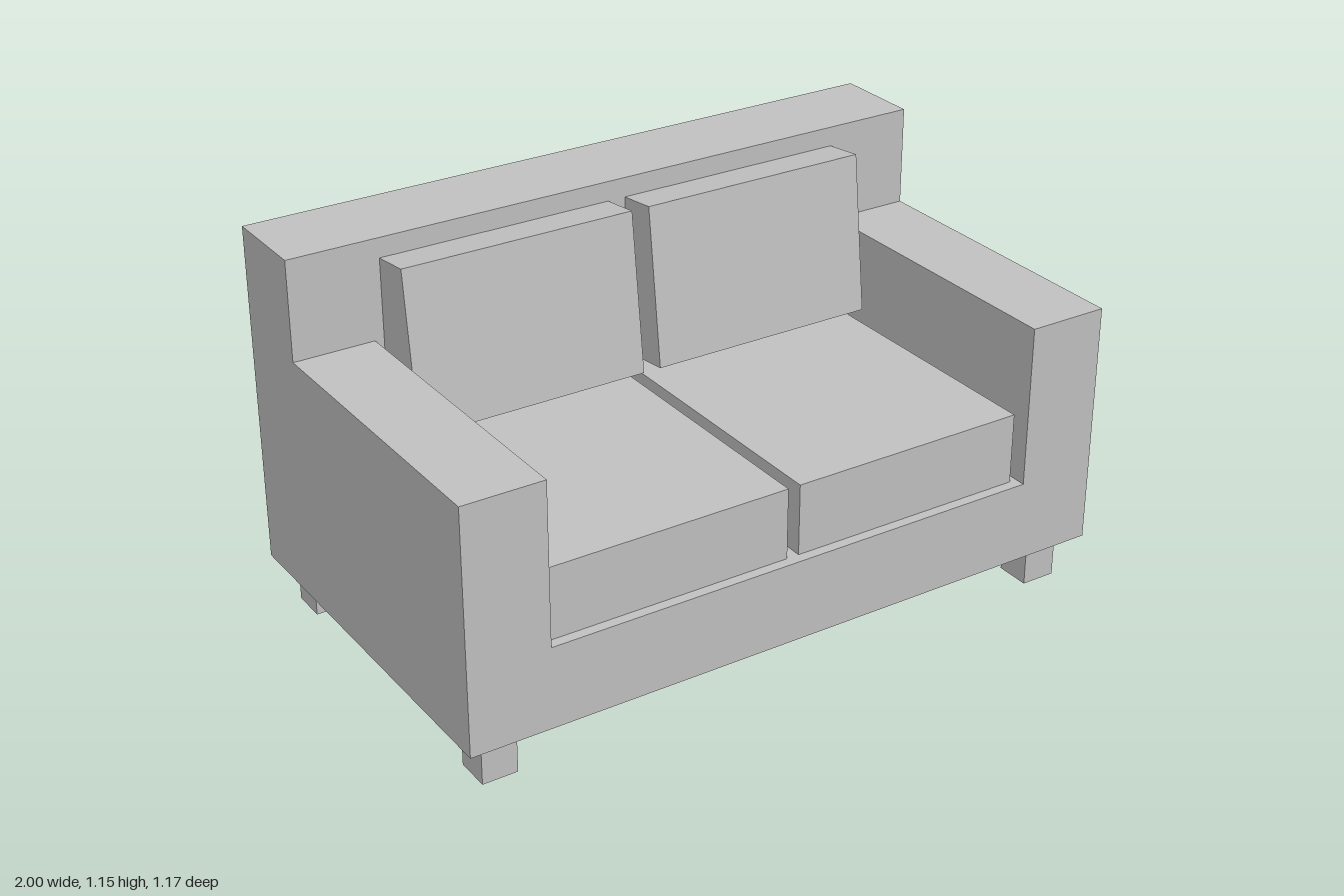
import * as THREE from 'three';

const fabric = new THREE.MeshStandardMaterial({ color: 0xc0c0c0 });
fabric.name = 'light grey';

// Box given by its minimum and maximum corners
function box(name, [x0, y0, z0], [x1, y1, z1]) {
  const mesh = new THREE.Mesh(new THREE.BoxGeometry(x1 - x0, y1 - y0, z1 - z0), fabric);
  mesh.position.set((x0 + x1) / 2, (y0 + y1) / 2, (z0 + z1) / 2);
  mesh.name = name;
  return mesh;
}

export function createModel() {
  const sofa = new THREE.Group();
  sofa.name = 'sofa';

  const bottom = 0.135, deck = 0.377, armTop = 0.855, backTop = 1.148;
  const armInner = 0.76, depth = 0.585, backFront = -0.32;

  // Base and both arms: a U-shaped outline extruded front to back
  const outline = new THREE.Shape([
    [-1, bottom], [1, bottom], [1, armTop], [armInner, armTop],
    [armInner, deck], [-armInner, deck], [-armInner, armTop], [-1, armTop],
  ].map(([x, y]) => new THREE.Vector2(x, y)));
  const frame = new THREE.Mesh(
    new THREE.ExtrudeGeometry(outline, { depth: depth - backFront, bevelEnabled: false }), fabric);
  frame.position.z = backFront;
  frame.name = 'baseAndArms';
  sofa.add(frame);

  // Full-width backrest
  sofa.add(box('backrest', [-1, bottom, -depth], [1, backTop, backFront]));

  // Seat cushions
  [['right', -0.744], ['left', 0.015]].forEach(([side, x]) =>
    sofa.add(box(side + 'SeatCushion', [x, deck, backFront], [x + 0.722, 0.588, 0.554])));

  // Back cushions, leaning into the backrest about their lower front edge
  const lean = 0.118, height = 0.474, thickness = 0.21;
  for (const s of [-1, 1]) {
    const geometry = new THREE.BoxGeometry(0.706, height, thickness);
    geometry.translate(0, height / 2, -thickness / 2);
    const cushion = new THREE.Mesh(geometry, fabric);
    cushion.position.set(s * 0.38, 0.634, -0.14);
    cushion.rotation.x = -lean;
    cushion.name = (s > 0 ? 'left' : 'right') + 'BackCushion';
    sofa.add(cushion);
  }

  // Four square legs
  for (const sx of [-1, 1]) {
    for (const sz of [-1, 1]) {
      const leg = box((sz > 0 ? 'front' : 'back') + (sx > 0 ? 'Left' : 'Right') + 'Leg',
        [-0.052, 0, -0.052], [0.052, bottom, 0.052]);
      leg.position.x = sx * 0.89;
      leg.position.z = sz * 0.48;
      sofa.add(leg);
    }
  }
  return sofa;
}
